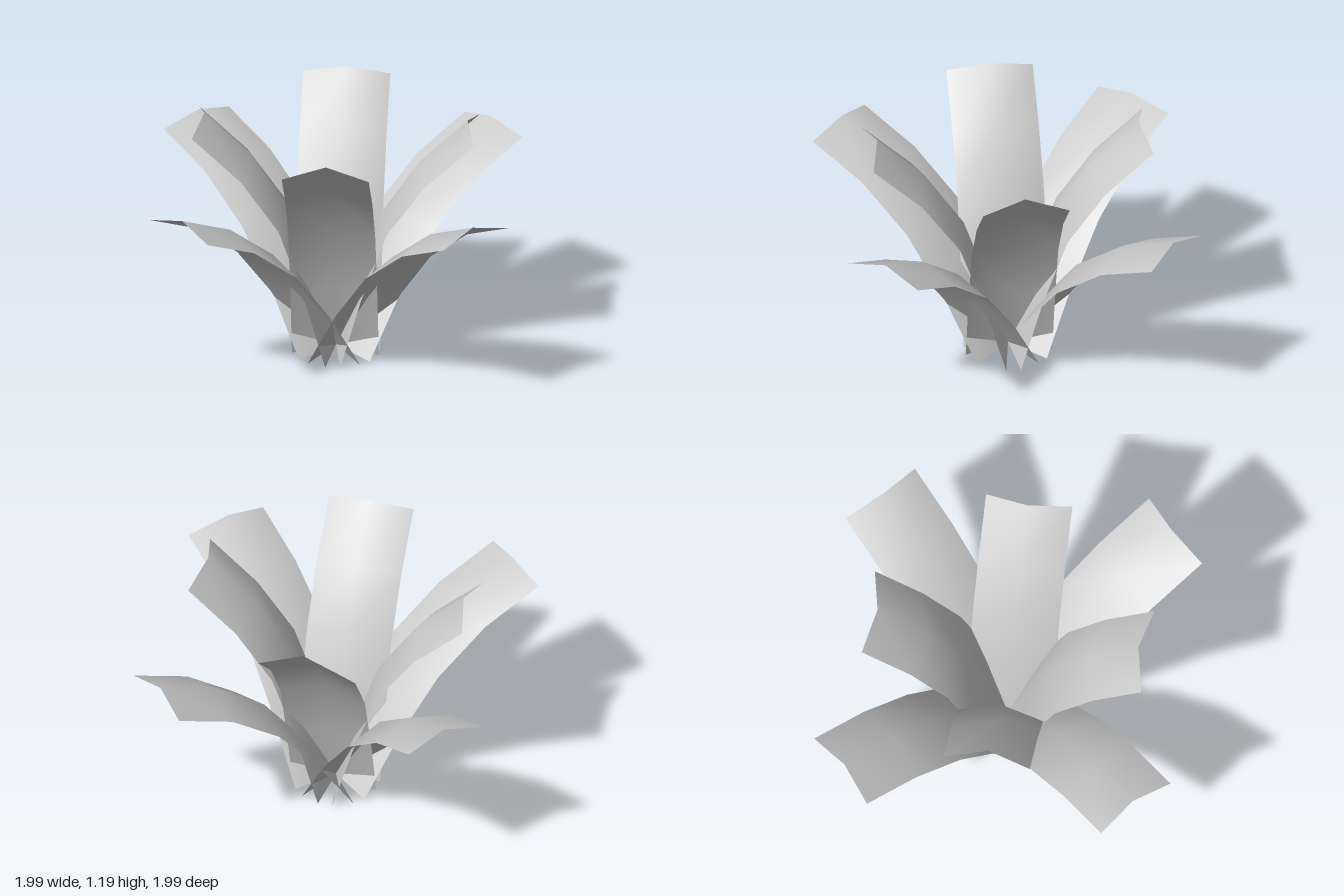
import * as THREE from 'three';

const HALF_WIDTH = 0.205;

// [distance out, height] along the raised midrib and along the drooping edges
const lowProfile = {
  rib: [[0, 0.04], [0.19, 0.335], [0.395, 0.607], [0.667, 0.81], [0.967, 0.937]],
  edge: [[0.03, 0.008], [0.23, 0.315], [0.438, 0.568], [0.697, 0.762], [0.99, 0.885]],
};
const highProfile = {
  rib: [[0, 0.04], [0.092, 0.375], [0.21, 0.715], [0.39, 0.982], [0.62, 1.2]],
  edge: [[0.035, 0.006], [0.135, 0.355], [0.255, 0.69], [0.433, 0.937], [0.664, 1.15]],
};

// Ridged strip growing towards +z: left edge, midrib, right edge per row
function leafGeometry({ rib, edge }) {
  const positions = [];
  const indices = [];
  rib.forEach(([ribZ, ribY], i) => {
    const [edgeZ, edgeY] = edge[i];
    positions.push(-HALF_WIDTH, edgeY, edgeZ, 0, ribY, ribZ, HALF_WIDTH, edgeY, edgeZ);
    if (i === 0) return;
    for (let j = 0; j < 2; j++) {
      const a = (i - 1) * 3 + j;
      const b = i * 3 + j;
      indices.push(a, a + 1, b, a + 1, b + 1, b);
    }
  });
  // Upper side faces up, so wind each triangle the other way
  for (let k = 0; k < indices.length; k += 3) {
    [indices[k + 1], indices[k + 2]] = [indices[k + 2], indices[k + 1]];
  }
  // Wound so that the upper surface is the front side
  indices.reverse();
  const geometry = new THREE.BufferGeometry();
  geometry.setAttribute('position', new THREE.Float32BufferAttribute(positions, 3));
  geometry.setIndex(indices);
  geometry.computeVertexNormals();
  return geometry;
}

// Four copies of a leaf spaced evenly around the stem
function whorl(name, profile, startDegrees, material) {
  const group = new THREE.Group();
  group.name = name;
  const geometry = leafGeometry(profile);
  for (let i = 0; i < 4; i++) {
    const leaf = new THREE.Mesh(geometry, material);
    leaf.name = `${name}Leaf${i + 1}`;
    leaf.rotation.y = THREE.MathUtils.degToRad(startDegrees + i * 90);
    group.add(leaf);
  }
  return group;
}

export function createModel() {
  const material = new THREE.MeshStandardMaterial({ color: 0xcccccc, side: THREE.DoubleSide });
  const plant = new THREE.Group();
  plant.name = 'plant';
  plant.add(
    whorl('spreading', lowProfile, -1.7, material), // low leaves along the axes
    whorl('upright', highProfile, 42.3, material), // tall leaves on the diagonals
  );
  return plant;
}
